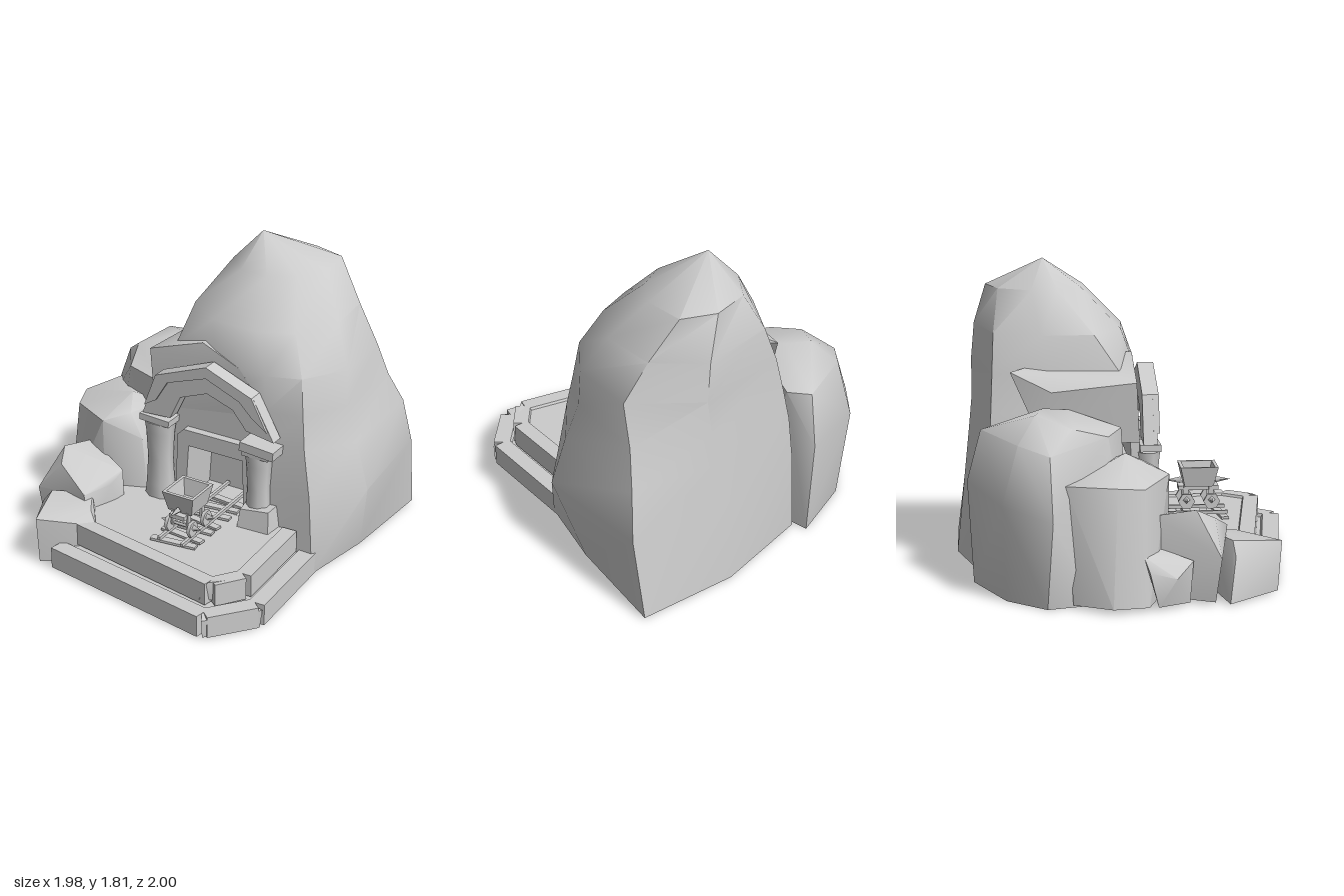
import * as THREE from 'three';
import { toCreasedNormals } from 'three/addons/utils/BufferGeometryUtils.js';
import { ConvexGeometry } from 'three/addons/geometries/ConvexGeometry.js';

const mat = new THREE.MeshStandardMaterial({ color: 0xcccccc, side: THREE.DoubleSide });

function add(parent, name, geometry, x = 0, y = 0, z = 0) {
  const mesh = new THREE.Mesh(geometry, mat);
  mesh.name = name;
  mesh.position.set(x, y, z);
  parent.add(mesh);
  return mesh;
}

// Faceted boulder wrapped around a few corner points
function boulder(parent, name, points, crease = 0.75) {
  const geo = new ConvexGeometry(points.map(p => new THREE.Vector3(...p)));
  return add(parent, name, toCreasedNormals(geo, crease));
}

// Skin over rings of [x, z] corners, closed by a top and a bottom point
function loft(rings, top, bottom) {
  const n = rings[0].pts.length, pos = [], index = [];
  rings.forEach(r => r.pts.forEach(([x, z]) => pos.push(x, r.y, z)));
  const t = pos.length / 3, b = t + 1, last = (rings.length - 1) * n;
  pos.push(...top, ...bottom);
  for (let i = 0; i < n; i++) {
    const j = (i + 1) % n;
    for (let k = 0; k < last; k += n) {
      index.push(k + i, k + j, k + n + j, k + i, k + n + j, k + n + i);
    }
    index.push(last + i, last + j, t, j, i, b);
  }
  const geo = new THREE.BufferGeometry();
  geo.setAttribute('position', new THREE.Float32BufferAttribute(pos, 3));
  geo.setIndex(index);
  return toCreasedNormals(geo, 0.8);
}

function outline(points) {
  return new THREE.Shape(points.map(p => new THREE.Vector2(...p)));
}

// Upright plate in the xy plane, reaching from z0 to z1
function plate(points, z0, z1, hole) {
  const shape = outline(points);
  if (hole) shape.holes.push(outline(hole));
  const geo = new THREE.ExtrudeGeometry(shape, { depth: z1 - z0, bevelEnabled: false });
  return geo.translate(0, 0, z0);
}

// Horizontal slab from [x, z] corners
function slab(points, y0, y1) {
  const shape = outline(points.map(([x, z]) => [x, -z]));
  return new THREE.ExtrudeGeometry(shape, { depth: y1 - y0, bevelEnabled: false })
    .rotateX(-Math.PI / 2).translate(0, y0, 0);
}

// Rounded kerb stone between two [x, z] points
function kerb(parent, name, [x0, z0], [x1, z1], y0, y1, width) {
  const len = Math.hypot(x1 - x0, z1 - z0), h = y1 - y0, w = width / 2;
  const section = outline([[-w, 0], [w * 0.8, 0], [w, h * 0.35], [w, h * 0.7], [w * 0.65, h], [-w, h]]);
  const geo = new THREE.ExtrudeGeometry(section, { depth: len, bevelEnabled: false });
  const mesh = add(parent, name, toCreasedNormals(geo, 0.9), x0, y0, z0);
  mesh.rotation.y = Math.atan2(x1 - x0, z1 - z0);
}

const rect = (x0, y0, x1, y1) => [[x0, y0], [x1, y0], [x1, y1], [x0, y1]];

function buildCliff(g) {
  const rings = [
    { y: 0.01, pts: [[-.3, -.2], [.42, -.2], [.48, .09], [.8, .1], [.88, -.36], [.92, -1], [.33, -1], [-.25, -.83], [-.35, -.5]] },
    { y: 0.48, pts: [[-.3, -.2], [.42, -.2], [.47, .08], [.76, .08], [.99, -.2], [.93, -.91], [.33, -.95], [-.24, -.82], [-.33, -.5]] },
    { y: 0.76, pts: [[-.3, -.2], [.42, -.2], [.47, .07], [.71, .06], [.9, -.22], [.89, -.85], [.36, -.92], [-.22, -.8], [-.3, -.5]] },
    { y: 0.96, pts: [[-.28, -.05], [.15, .04], [.46, .07], [.68, .03], [.82, -.24], [.83, -.75], [.4, -.9], [-.18, -.79], [-.26, -.48]] },
    { y: 1.18, pts: [[-.21, -.05], [.12, .05], [.45, .07], [.65, 0], [.81, -.25], [.8, -.65], [.43, -.9], [-.13, -.78], [-.21, -.45]] },
    { y: 1.4, pts: [[-.17, -.2], [.05, -.03], [.35, -.01], [.55, -.1], [.69, -.35], [.66, -.68], [.4, -.88], [-.05, -.77], [-.18, -.5]] },
    { y: 1.64, pts: [[-.03, -.4], [.1, -.26], [.28, -.24], [.43, -.33], [.53, -.5], [.5, -.74], [.3, -.81], [.08, -.74], [-.03, -.55]] },
  ];
  add(g, 'cliff', loft(rings, [.12, 1.81, -.48], [.3, 0.01, -.5]));
  boulder(g, 'browRock', [[-.34, 1.15, .03], [-.3, .8, .05], [.02, 1.27, .03], [.28, 1.18, .06], [.42, 1.0, .06],
    [-.33, 1.1, -.45], [-.22, 1.2, -.68], [-.3, .8, -.5], [0, 1.27, -.3], [.3, .8, .04]]);
}

function buildBoulders(g) {
  boulder(g, 'backBoulder', [[-.86, 0, -.5], [-.68, 0, -.72], [-.3, 0, -.9], [-.2, 0, -.5], [-.35, 0, 0], [-.8, 0, -.25],
    [-.94, .5, -.47], [-.74, .55, -.74], [-.31, .6, -.93], [-.82, .84, -.48], [-.7, .88, -.65], [-.34, .9, -.85],
    [-.67, .96, -.35], [-.57, 1.02, -.55], [-.42, 1.03, -.5], [-.32, 1.0, -.35], [-.24, .9, -.75], [-.35, .9, -.06], [-.6, .9, -.15]]);
  boulder(g, 'sideBoulder', [[-.99, .03, -.15], [-.85, .02, -.36], [-.93, .02, .05], [-.58, .02, .18], [-.32, .02, .08],
    [-.91, .68, -.12], [-.83, .68, -.4], [-.86, .66, .03], [-.52, .79, -.05], [-.45, .72, .08], [-.58, .68, .19],
    [-.36, .58, .1], [-.33, .5, .06], [-.4, .7, -.2]]);
  boulder(g, 'smallBoulder', [[-.93, .02, .1], [-.95, .22, .05], [-.9, .3, .02], [-.83, .25, .3], [-.85, .02, .28], [-.94, .18, .2],
    [-.7, .3, .1], [-.7, .02, .15]]);
  boulder(g, 'middleBoulder', [[-.72, .02, .12], [-.86, .02, .42], [-.5, .02, .48], [-.41, .02, .22],
    [-.88, .27, .45], [-.77, .52, .32], [-.72, .48, .1], [-.41, .42, .24], [-.49, .36, .53], [-.42, .37, .35], [-.72, .46, .43]]);
  boulder(g, 'frontBoulder', [[-.87, .01, .5], [-.63, .01, .8], [-.36, .01, .65], [-.46, .01, .42],
    [-.78, .25, .54], [-.72, .33, .53], [-.63, .3, .82], [-.34, .25, .63], [-.41, .31, .58], [-.5, .33, .43]]);
}

function buildTerrace(g) {
  add(g, 'terraceFloor', slab([[-.5, -.2], [.66, -.2], [.66, .66], [.53, .8], [-.42, .64], [-.5, .4]], 0.01, 0.25));
  add(g, 'lowerFloor', slab([[-.6, -.2], [.76, -.2], [.78, .7], [.58, .93], [-.5, .76]], 0.01, 0.12));
  const tiers = [
    { name: 'upperKerb', y0: .13, y1: .265, w: .11, path: [[-.42, .64], [.55, .81], [.66, .66], [.64, .1]] },
    { name: 'lowerKerb', y0: .01, y1: .14, w: .12, path: [[-.52, .76], [.58, .94], [.77, .71], [.74, -.16]] },
  ];
  for (const t of tiers) {
    for (let i = 0; i < 3; i++) kerb(g, t.name, t.path[i], t.path[i + 1], t.y0, t.y1, t.w);
  }
  boulder(g, 'upperCornerStone', [[.5, .15, .86], [.62, .14, .78], [.7, .2, .7], [.69, .26, .69], [.55, .27, .85], [.56, .26, .74], [.6, .14, .68]]);
  boulder(g, 'lowerCornerStone', [[.56, .01, .92], [.6, .01, .99], [.82, .01, .74], [.83, .12, .73], [.6, .12, 1], [.57, .14, .94], [.74, .14, .72]]);
}

function buildPortal(g) {
  add(g, 'portalWall', plate([[-.3, .2], [.5, .2], [.5, .85], [.35, 1.05], [.12, 1.14], [-.15, 1.05], [-.28, .85]], 0, .05,
    rect(-.07, .25, .36, .66)));
  add(g, 'doorFrame', plate([[-.13, .25], [.42, .25], [.4, .7], [.36, .72], [-.07, .72], [-.11, .68]], .03, .1,
    [[-.06, .251], [.34, .251], [.33, .62], [-.035, .62]]));
  // Tunnel lining, open to the front
  const lining = rect(-.07, .25, .36, .65);
  add(g, 'tunnelLining', plate(lining, -.18, .03, [[-.06, .255], [.34, .255], [.33, .62], [-.035, .62]]));
  add(g, 'tunnelEnd', plate(lining, -.2, -.18));

  add(g, 'arch', plate([[-.32, .79], [-.22, 1.06], [.12, 1.19], [.42, 1.07], [.56, .82], [.38, .85], [.29, .96], [.12, 1.02], [-.06, .95], [-.13, .8]], .07, .15));
  add(g, 'archRim', plate([[-.3, .85], [-.22, 1.06], [.12, 1.19], [.42, 1.07], [.52, .88], [.42, .95], [.34, 1.03], [.12, 1.12], [-.14, 1.03], [-.22, .9]], .13, .165));

  // Waisted pillars with cap and foot stones
  const profile = [[0, 0], [.1, 0], [.09, .08], [.08, .25], [.09, .42], [.1, .49], [0, .49]]
    .map(p => new THREE.Vector2(...p));
  for (const x of [-.23, .44]) {
    const pillar = add(g, 'pillar', toCreasedNormals(new THREE.LatheGeometry(profile, 8, Math.PI / 8), .9), x, .25, .1);
    pillar.scale.set(x > 0 ? .85 : 1, x > 0 ? .92 : 1, .75);
  }
  add(g, 'leftCap', new THREE.BoxGeometry(.2, .04, .12), -.23, .765, .11).rotation.z = -.05;
  add(g, 'rightCapLower', new THREE.BoxGeometry(.17, .05, .12), .45, .725, .11);
  add(g, 'rightCapUpper', new THREE.BoxGeometry(.22, .055, .13), .465, .755, .12).rotation.z = -.08;
  boulder(g, 'footStone', [[.35, .25, .08], [.36, .25, .21], [.56, .25, .2], [.57, .25, .08], [.36, .37, .09], [.37, .36, .19], [.55, .38, .18], [.55, .38, .08]]);
}

function buildTrack(g) {
  for (const x of [.08, .23]) add(g, 'rail', new THREE.BoxGeometry(.018, .02, .78), x, .285, .22);
  for (let i = 0; i < 7; i++) {
    const tie = add(g, 'tie', new THREE.BoxGeometry(.28, .015, .045), .155, .264, .57 - i * .095);
    tie.rotation.y = [.12, -.1, .06, -.14, .1][i % 5];
  }
}

function buildCart(g) {
  const cart = new THREE.Group();
  cart.name = 'mineCart';
  cart.position.set(.17, 0, .44);
  g.add(cart);
  // Open tub that widens upward, with an inner skin
  const tubProfile = [[0, .44], [.11, .44], [.145, .56], [.12, .56], [.095, .46], [0, .46]]
    .map(p => new THREE.Vector2(...p));
  const tub = new THREE.LatheGeometry(tubProfile, 4, Math.PI / 4);
  add(cart, 'tub', toCreasedNormals(tub, .3)).scale.z = 1.1;
  add(cart, 'chassis', new THREE.BoxGeometry(.1, .025, .24), 0, .425, 0);
  for (const s of [-1, 1]) {
    add(cart, 'axle', new THREE.CylinderGeometry(.01, .01, .2, 5).rotateZ(Math.PI / 2), 0, .36, s * .075);
    add(cart, 'coupling', new THREE.ConeGeometry(.02, .09, 4).rotateX(s * Math.PI / 2), 0, .465, s * .15);
    for (const t of [-1, 1]) {
      add(cart, 'wheel', new THREE.CylinderGeometry(.05, .05, .02, 6).rotateZ(Math.PI / 2), t * .075, .35, s * .075);
      add(cart, 'hub', new THREE.ConeGeometry(.022, .05, 4).rotateZ(-t * Math.PI / 2), t * .11, .36, s * .075);
      add(cart, 'bracket', new THREE.BoxGeometry(.015, .1, .03), t * .05, .4, s * .075);
    }
  }
}

export function createModel() {
  const g = new THREE.Group();
  g.name = 'mineEntrance';
  [buildCliff, buildBoulders, buildTerrace, buildPortal, buildTrack, buildCart].forEach(build => build(g));
  return g;
}
